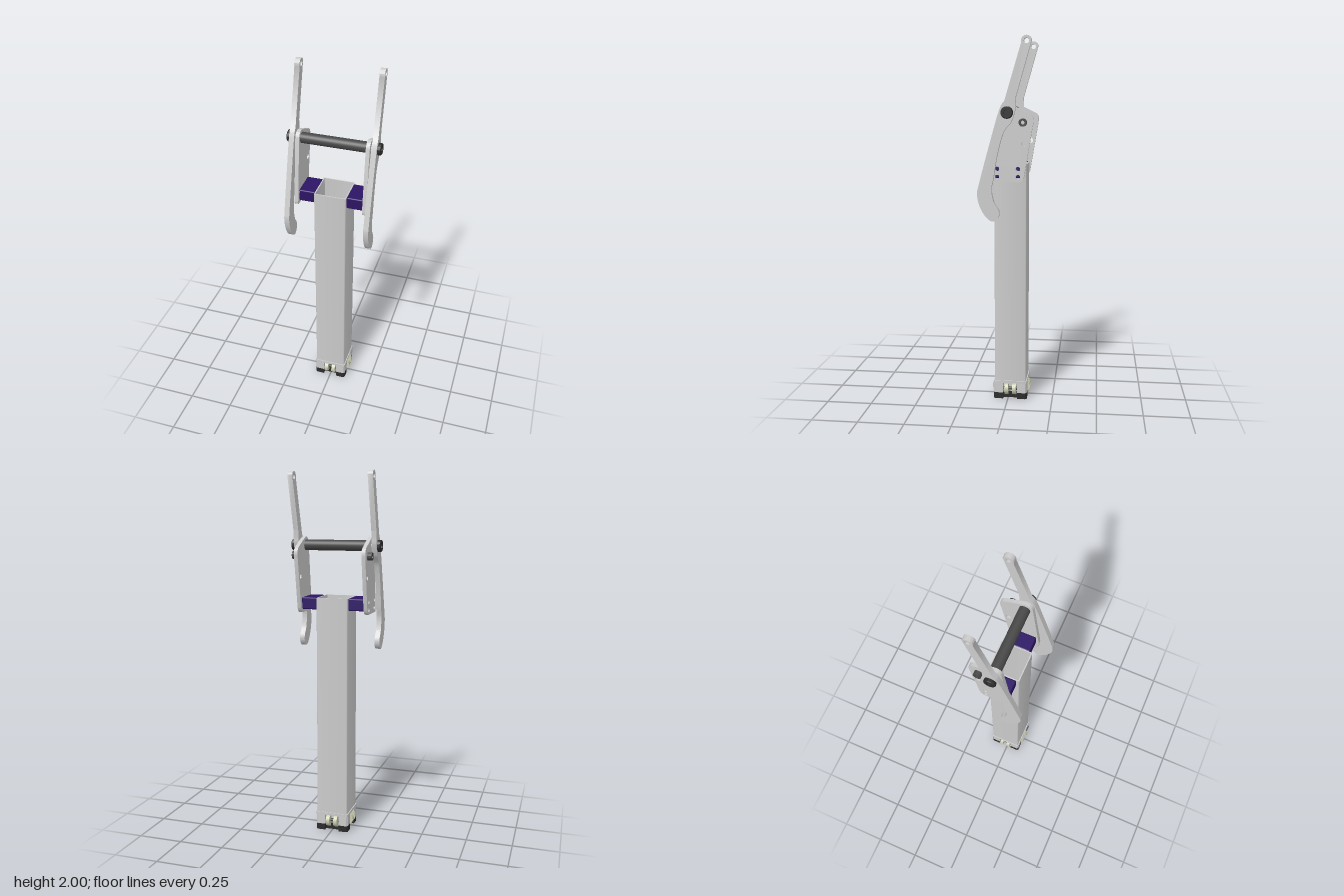
import * as THREE from 'three';
import { toCreasedNormals } from 'three/addons/utils/BufferGeometryUtils.js';
import { RoundedBoxGeometry } from 'three/addons/geometries/RoundedBoxGeometry.js';

const mat = (color) => new THREE.MeshStandardMaterial({ color });
const V = (x, y) => new THREE.Vector2(x, y);
const AXIS_Z = -0.0135; // centre line of the post
const PIVOT = { y: 1.61, z: -0.012 };

export function createModel() {
  const model = new THREE.Group();
  const grey = mat(0xcccccc), dark = mat(0x484848), black = mat(0x2c2c2c);
  const purple = mat(0x2c1464), pale = mat(0xc9ccae);

  const add = (name, geo, material, x = 0, y = 0, z = 0) => {
    const mesh = new THREE.Mesh(geo, material);
    mesh.name = name;
    mesh.position.set(x, y, z);
    model.add(mesh);
    return mesh;
  };
  const extrude = (shape, depth) => toCreasedNormals(
    new THREE.ExtrudeGeometry(shape, { depth, bevelEnabled: false, curveSegments: 20 }), 0.6);
  // Profile in (x, z), raised along y
  const upright = (shape, height) => extrude(shape, height).rotateX(-Math.PI / 2);
  // Profile in (z, y), centred across x
  const sideways = (shape, width) => extrude(shape, width).rotateY(-Math.PI / 2).translate(width / 2, 0, 0);
  const axle = (r, length, sides = 32) => new THREE.CylinderGeometry(r, r, length, sides).rotateZ(Math.PI / 2);
  const hole = (shape, x, y, r) => shape.holes.push(new THREE.Path().absarc(x, y, r, 0, Math.PI * 2, true));

  const roundSquare = (h, r, Type = THREE.Shape) => {
    const p = new Type();
    [[1, 1], [-1, 1], [-1, -1], [1, -1]].forEach(([sx, sy], i) =>
      p.absarc(sx * (h - r), sy * (h - r), r, i * Math.PI / 2, (i + 1) * Math.PI / 2, false));
    p.closePath();
    return p;
  };
  const frame = (outer, inner, r) => {
    const s = roundSquare(outer, r);
    s.holes.push(roundSquare(inner, r * 0.8, THREE.Path));
    return s;
  };

  // Square post, open at the top, with the foot's plug inside
  add('postTube', upright(frame(0.088, 0.082, 0.006), 1.235), grey, 0, 0.095, AXIS_Z);
  add('plugWall', upright(frame(0.0815, 0.074, 0.012), 0.15), dark, 0, 0.1, AXIS_Z);
  const floor = roundSquare(0.075, 0.01);
  hole(floor, 0, 0, 0.042);
  add('plugFloor', upright(floor, 0.02), grey, 0, 0.1, AXIS_Z);
  const boss = roundSquare(0.052, 0.03);
  hole(boss, 0, 0, 0.042);
  add('plugBoss', upright(boss, 0.012), grey, 0, 0.118, AXIS_Z);

  // Foot: square with a roller pocket in the middle of each side
  const notched = (h, w, depth) => {
    const pts = [];
    for (let i = 0; i < 4; i++) {
      [[h, -h + 0.008], [h, -w], [h - depth, -w], [h - depth, w], [h, w], [h, h - 0.008], [h - 0.008, h]]
        .forEach(([x, y]) => pts.push(V(x, y).rotateAround(V(0, 0), i * Math.PI / 2)));
    }
    const s = new THREE.Shape(pts);
    hole(s, 0, 0, 0.042);
    return s;
  };
  add('footPad', upright(notched(0.093, 0.04, 0.022), 0.035), black, 0, 0, AXIS_Z);
  add('footBlock', upright(notched(0.093, 0.04, 0.03), 0.057), grey, 0, 0.035, AXIS_Z);
  add('footCollar', upright(frame(0.093, 0.08, 0.008), 0.015), grey, 0, 0.09, AXIS_Z);

  // Pairs of rollers on all four sides
  for (let i = 0; i < 4; i++) {
    const side = new THREE.Group();
    side.name = 'rollerSide';
    side.position.z = AXIS_Z;
    side.rotation.y = i * Math.PI / 2;
    for (const s of [-1, 1]) {
      const roller = new THREE.Mesh(axle(0.034, 0.021), pale);
      roller.name = 'roller';
      roller.position.set(s * 0.022, 0.056, 0.073);
      side.add(roller);
    }
    const pin = new THREE.Mesh(axle(0.009, 0.08, 16), dark);
    pin.name = 'rollerPin';
    pin.position.set(0, 0.056, 0.073);
    side.add(pin);
    model.add(side);
  }

  // Side plate with a rounded top around the pivot
  const plate = new THREE.Shape();
  plate.moveTo(0.06, 1.245);
  plate.quadraticCurveTo(0.077, 1.245, 0.074, 1.265);
  plate.lineTo(0.031, 1.62);
  plate.quadraticCurveTo(0.024, 1.655, -0.012, 1.655);
  plate.lineTo(-0.055, 1.638);
  plate.lineTo(-0.128, 1.603);
  plate.quadraticCurveTo(-0.148, 1.592, -0.146, 1.56);
  plate.lineTo(-0.098, 1.275);
  plate.quadraticCurveTo(-0.09, 1.245, -0.065, 1.245);
  plate.closePath();
  [[-0.1, 1.447, 0.015], [-0.066, 1.315, 0.012], [-0.066, 1.272, 0.012],
    [0.045, 1.315, 0.012], [0.045, 1.272, 0.012]].forEach(([z, y, r]) => hole(plate, z, y, r));

  // Lever: straight arm above the pivot, hooked handle below
  const lever = new THREE.Shape();
  lever.absarc(-0.112, 1.972, 0.028, -0.27, Math.PI - 0.27, false);
  lever.lineTo(-0.057, 1.69);
  lever.splineThru([V(-0.054, 1.65), V(-0.052, 1.615), V(-0.032, 1.56), V(0.008, 1.505), V(0.04, 1.39),
    V(0.06, 1.27), V(0.071, 1.21), V(0.06, 1.145), V(0.032, 1.095), V(0.036, 1.058), V(0.065, 1.038),
    V(0.102, 1.063), V(0.135, 1.122), V(0.147, 1.185), V(0.136, 1.24), V(0.085, 1.43), V(0.03, 1.62),
    V(0.002, 1.67)]);
  lever.closePath();
  hole(lever, -0.112, 1.972, 0.014);

  const stub = new THREE.Shape().absarc(0, 0, 0.021, 0, Math.PI * 2);
  hole(stub, 0, 0, 0.01);

  for (const [s, label] of [[1, 'left'], [-1, 'right']]) {
    add(label + 'Spacer', new RoundedBoxGeometry(0.09, 0.066, 0.145, 3, 0.007), purple, s * 0.132, 1.297, AXIS_Z);
    add(label + 'Plate', sideways(plate, 0.021), grey, s * 0.1875, 0, 0);
    add(label + 'Lever', sideways(lever, 0.028), grey, s * 0.219, 0, 0);
    add(label + 'Stop', sideways(stub, 0.034), dark, s * 0.206, 1.558, -0.092);
    add(label + 'PivotPin', axle(0.02, 0.06), grey, s * 0.205, PIVOT.y, PIVOT.z);
    // Bolt head with a recessed socket
    const head = new THREE.LatheGeometry([V(0.032, 0), V(0.032, 0.015), V(0.028, 0.019), V(0.015, 0.019),
      V(0.015, 0.007), V(0, 0.007)], 32);
    add(label + 'BoltHead', toCreasedNormals(head.rotateZ(-s * Math.PI / 2), 0.5), black, s * 0.233, PIVOT.y, PIVOT.z);
  }

  // Cross rod between the plates
  add('crossRod', axle(0.029, 0.354), dark, 0, PIVOT.y, PIVOT.z);
  return model;
}
